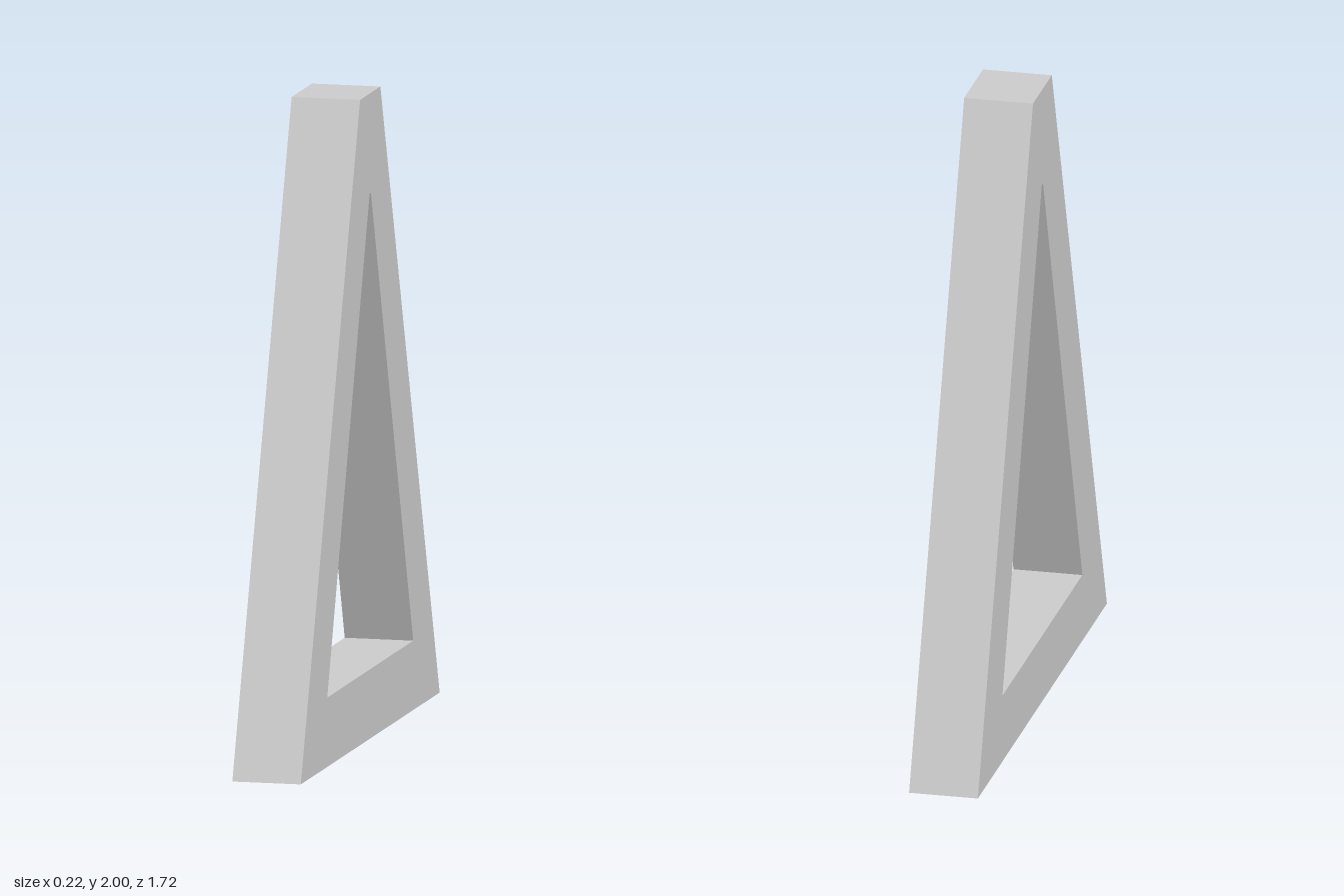
import * as THREE from 'three';

// Symmetric trapezoid outline: half widths at bottom and top, and the two heights
function trapezoid(path, bottomHalf, topHalf, y0, y1) {
  path.moveTo(-bottomHalf, y0);
  path.lineTo(bottomHalf, y0);
  path.lineTo(topHalf, y1);
  path.lineTo(-topHalf, y1);
  path.closePath();
  return path;
}

export function createModel() {
  const thickness = 0.216;
  const model = new THREE.Group();
  model.name = 'model';

  // Flat-topped A-frame with a narrow, nearly triangular opening
  const outline = trapezoid(new THREE.Shape(), 0.858, 0.125, 0, 2);
  outline.holes.push(trapezoid(new THREE.Path(), 0.531, 0.008, 0.215, 1.69));

  // Extruded across the thickness, then turned so the frame lies in the y-z plane
  const geometry = new THREE.ExtrudeGeometry(outline, { depth: thickness, bevelEnabled: false });
  geometry.translate(0, 0, -thickness / 2);
  geometry.rotateY(Math.PI / 2);

  const frame = new THREE.Mesh(
    geometry,
    new THREE.MeshStandardMaterial({ color: 0xcccccc, flatShading: true })
  );
  frame.name = 'triangularFrame';
  model.add(frame);
  return model;
}
